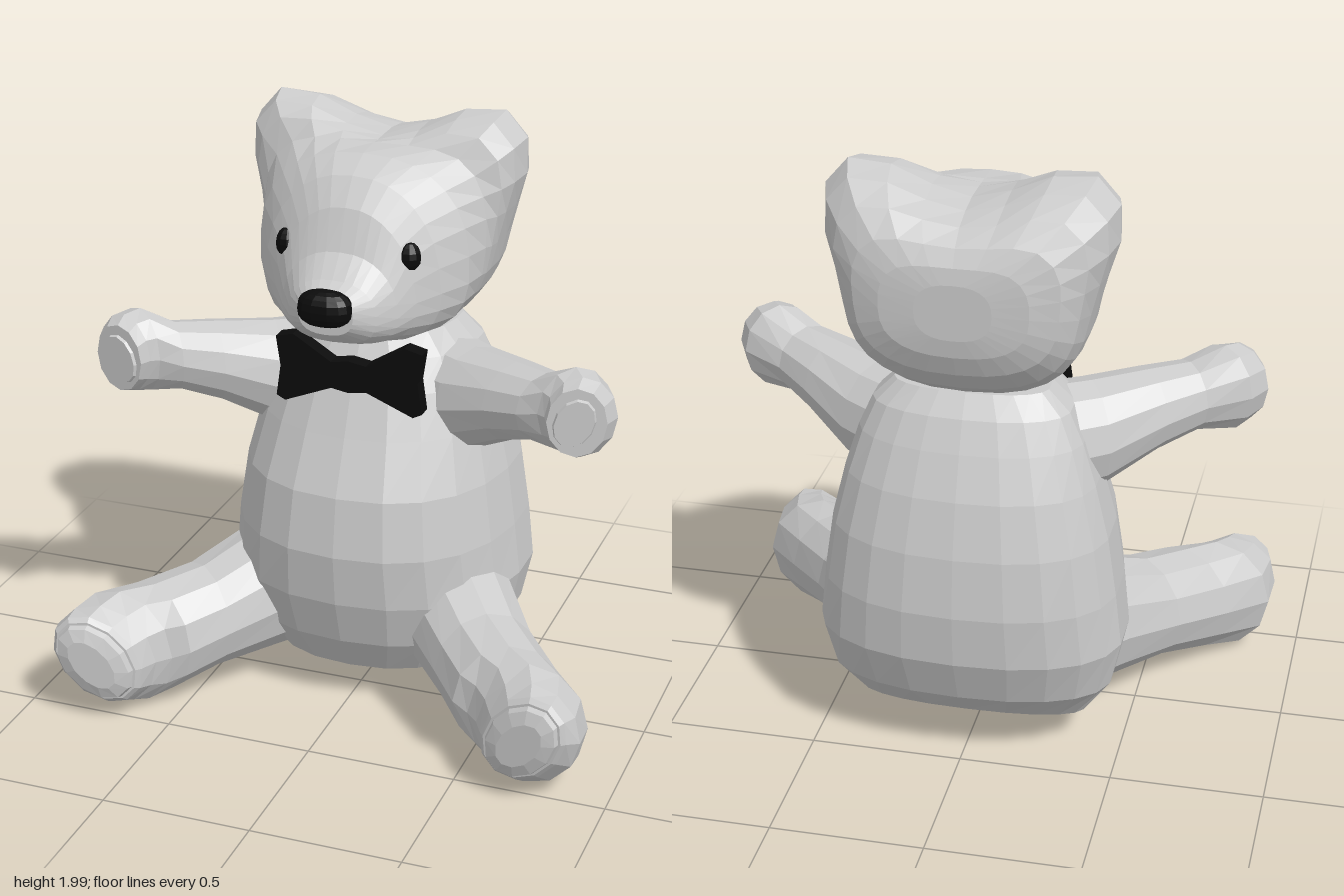
import * as THREE from 'three';

const grey = new THREE.MeshStandardMaterial({ color: 0xcccccc, flatShading: true });
const black = new THREE.MeshStandardMaterial({ color: 0x0c0c0c, flatShading: true });
const pow = (v, p) => Math.sign(v) * Math.abs(v) ** p;
const V = (x, y, z) => new THREE.Vector3(x, y, z);

// Skin between closed rings of points, with both ends capped. mirror flips it to the -x side.
function loft(rings, mirror = false) {
  const n = rings[0].length, pos = [], idx = [];
  const push = p => pos.push(mirror ? -p.x : p.x, p.y, p.z);
  const tri = (a, b, c) => (mirror ? idx.push(a, c, b) : idx.push(a, b, c));
  rings.forEach(r => r.forEach(push));
  for (let i = 0; i < rings.length - 1; i++) {
    for (let j = 0; j < n; j++) {
      const a = i * n + j, b = i * n + (j + 1) % n;
      tri(a, b, b + n);
      tri(a, b + n, a + n);
    }
  }
  [0, rings.length - 1].forEach((r, end) => {
    const mid = rings[r].reduce((s, p) => s.add(p), V(0, 0, 0)).divideScalar(n);
    const c = pos.length / 3;
    push(mid);
    for (let j = 0; j < n; j++) {
      const a = r * n + j, b = r * n + (j + 1) % n;
      end ? tri(c, a, b) : tri(c, b, a);
    }
  });
  const g = new THREE.BufferGeometry();
  g.setAttribute('position', new THREE.Float32BufferAttribute(pos, 3));
  g.setIndex(idx);
  g.computeVertexNormals();
  return g;
}

const ring = (n, f) => Array.from({ length: n }, (_, i) => f((i / n) * Math.PI * 2));

// Upright oval ring for limbs, turned by yaw degrees about y, its long axis leaning by roll
function limbRing([x, y, z, yaw, rh, rv, roll = 0]) {
  const a = THREE.MathUtils.degToRad(yaw), b = THREE.MathUtils.degToRad(roll);
  return ring(12, t => {
    const u = rh * Math.cos(t + b), v = rv * Math.sin(t + b);
    const s = u * Math.cos(b) + v * Math.sin(b);
    return V(x + s * Math.cos(a), y + v * Math.cos(b) - u * Math.sin(b), z - s * Math.sin(a));
  });
}

// Torso ring: height, half width, front z, back z
function bodyRing([y, w, zf, zb]) {
  const zc = -0.29;
  return ring(22, t => {
    const c = Math.cos(t);
    return V(w * pow(Math.sin(t), 0.85), y, zc + (c > 0 ? zf - zc : zc - zb) * pow(c, 0.85));
  });
}

// Head ring: z, half width, bottom, top, ear bulge, narrowing towards the top
function headRing([z, w, y0, y1, ear, taper]) {
  const cy = (y0 + y1) / 2, h = (y1 - y0) / 2;
  return ring(28, t => {
    const c = Math.cos(t), s = Math.sin(t);
    const d = Math.atan2(s, Math.abs(c)) - 0.84;
    const e = ear * Math.exp(-((d / (d < 0 ? 0.55 : 0.42)) ** 2));
    return V(w * pow(c, 0.8) * (1 - taper * s) + e * c, cy + h * pow(s, 0.8) + e * s, z);
  });
}

export function createModel() {
  const model = new THREE.Group();
  const add = (name, geometry, material = grey) => {
    const m = new THREE.Mesh(geometry, material);
    m.name = name;
    model.add(m);
    return m;
  };

  add('body', loft([
    [0.07, 0.18, -0.02, -0.25], [0.085, 0.27, 0.04, -0.31], [0.13, 0.38, 0.12, -0.39],
    [0.26, 0.47, 0.2, -0.525], [0.42, 0.505, 0.25, -0.59], [0.6, 0.485, 0.27, -0.605],
    [0.8, 0.455, 0.24, -0.585], [0.98, 0.41, 0.16, -0.54], [1.12, 0.365, 0.1, -0.485],
    [1.22, 0.32, 0.04, -0.44], [1.29, 0.25, 0, -0.39],
  ].map(bodyRing)));

  // Head with the ears bulging out of its back half
  add('head', loft([
    [-0.56, 0.12, 1.54, 1.72, 0, 0], [-0.55, 0.23, 1.48, 1.77, 0.02, 0], [-0.52, 0.31, 1.41, 1.82, 0.06, 0],
    [-0.46, 0.355, 1.34, 1.86, 0.12, 0], [-0.38, 0.37, 1.29, 1.88, 0.18, 0], [-0.29, 0.375, 1.275, 1.89, 0.21, 0],
    [-0.2, 0.375, 1.275, 1.89, 0.185, 0], [-0.155, 0.375, 1.275, 1.89, 0.13, 0], [-0.12, 0.375, 1.28, 1.895, 0.04, 0],
    [-0.02, 0.355, 1.285, 1.89, 0, 0.1], [0.08, 0.29, 1.3, 1.845, 0, 0.22], [0.145, 0.228, 1.32, 1.76, 0, 0.28],
    [0.195, 0.19, 1.33, 1.63, 0, 0.2], [0.26, 0.145, 1.355, 1.56, 0, 0.1], [0.32, 0.09, 1.4, 1.53, 0, 0],
  ].map(headRing)));

  // Nose, with flattened sides
  const nose = new THREE.SphereGeometry(1, 14, 10);
  const np = nose.attributes.position;
  for (let i = 0; i < np.count; i++) {
    np.setXYZ(i, pow(np.getX(i), 0.8) * 0.09, pow(np.getY(i), 0.8) * 0.06, np.getZ(i) * 0.055);
  }
  add('nose', nose, black).position.set(0, 1.49, 0.325);

  // Bow tie
  const half = [[0, 1.235], [0.06, 1.225], [0.19, 1.305], [0.25, 1.29], [0.235, 1.19],
    [0.25, 1.085], [0.22, 1.07], [0.06, 1.135], [0, 1.125]];
  const outline = [...half, ...half.slice(1, -1).map(([x, y]) => [-x, y]).reverse()];
  const bow = new THREE.ExtrudeGeometry(
    new THREE.Shape(outline.map(p => new THREE.Vector2(...p))), { depth: 0.055, bevelEnabled: false });
  add('bowTie', bow, black).position.z = 0.065;

  for (const [side, mirror] of [['left', false], ['right', true]]) {
    const sx = mirror ? -1 : 1;

    const eye = add(side + 'Eye', new THREE.SphereGeometry(1, 10, 8), black);
    eye.scale.set(0.038, 0.05, 0.038);
    eye.position.set(sx * 0.205, 1.615, 0.12);

    add(side + 'Arm', loft([
      [0.18, 1.06, -0.23, 60, 0.18, 0.19], [0.35, 1.065, -0.12, 58, 0.17, 0.18],
      [0.52, 1.12, -0.02, 55, 0.14, 0.135], [0.64, 1.145, 0.05, 52, 0.118, 0.115],
      [0.745, 1.165, 0.09, 36, 0.125, 0.145], [0.78, 1.165, 0.14, 20, 0.115, 0.135],
      [0.78, 1.165, 0.19, 16, 0.095, 0.115],
    ].map(limbRing), mirror));
    add(side + 'PawPad', loft([
      [0.77, 1.165, 0.18, 16, 0.07, 0.09, 25], [0.775, 1.165, 0.202, 16, 0.06, 0.08, 25],
    ].map(limbRing), mirror));

    // Thigh runs high into the hip; the sole turns slightly inwards
    add(side + 'Leg', loft([
      [0.2, 0.335, -0.2, 42, 0.21, 0.22], [0.35, 0.32, -0.01, 42, 0.2, 0.22],
      [0.5, 0.265, 0.18, 38, 0.178, 0.18], [0.62, 0.23, 0.32, 26, 0.18, 0.19],
      [0.71, 0.21, 0.4, 6, 0.195, 0.205], [0.735, 0.215, 0.48, -7, 0.17, 0.188, 42],
      [0.735, 0.225, 0.535, -10, 0.13, 0.175, 42], [0.735, 0.225, 0.55, -10, 0.115, 0.16, 42],
    ].map(limbRing), mirror));
    add(side + 'FootPad', loft([
      [0.735, 0.225, 0.54, -10, 0.11, 0.155, 42], [0.735, 0.225, 0.57, -10, 0.1, 0.145, 42],
      [0.735, 0.225, 0.585, -10, 0.06, 0.1, 42],
    ].map(limbRing), mirror));
  }
  return model;
}
